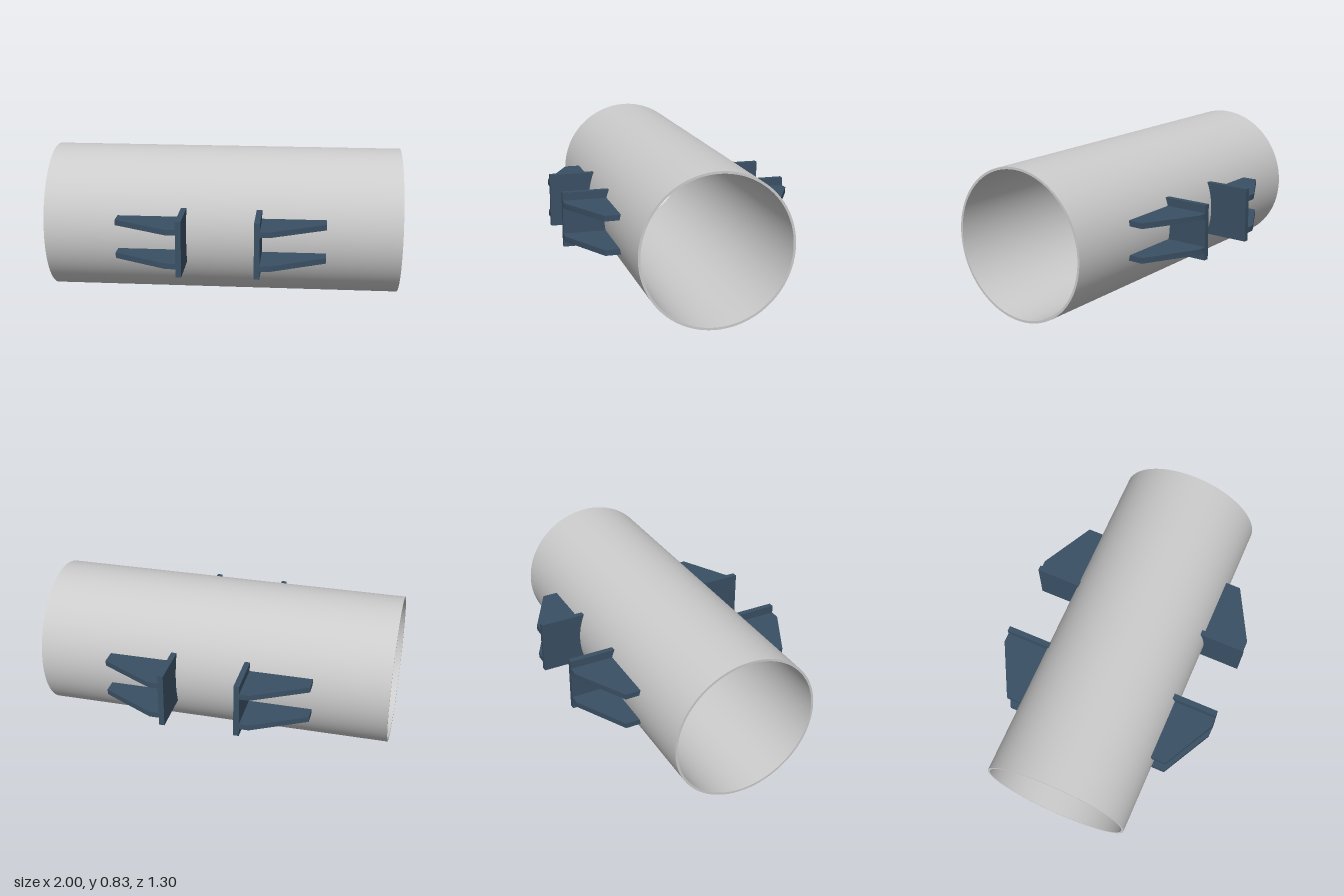
import * as THREE from 'three';
import { toCreasedNormals } from 'three/addons/utils/BufferGeometryUtils.js';

const R = 0.4175;         // pipe outer radius
const WALL = 0.013;       // pipe wall thickness
const REACH = 0.65;       // outer edge of the brackets, from the pipe axis
const T = 0.031;          // bracket plate thickness

const pipeMaterial = new THREE.MeshStandardMaterial({ color: 0xcccccc });
const steelMaterial = new THREE.MeshStandardMaterial({ color: 0x3a5064 });

function extrude(shape, depth, curveSegments = 12) {
  const g = new THREE.ExtrudeGeometry(shape, { depth, bevelEnabled: false, curveSegments });
  return toCreasedNormals(g.translate(0, 0, -depth / 2), 0.5);
}

function addMesh(parent, name, geometry, material, x = 0, y = 0) {
  const mesh = new THREE.Mesh(geometry, material);
  mesh.name = name;
  mesh.position.set(x, y, 0);
  parent.add(mesh);
}

// Hollow pipe lying along x
function pipeGeometry() {
  const ring = new THREE.Shape().absarc(0, 0, R, 0, Math.PI * 2, false);
  ring.holes.push(new THREE.Path().absarc(0, 0, R - WALL, 0, Math.PI * 2, true));
  return extrude(ring, 2, 96).rotateY(Math.PI / 2);
}

// Upright plate whose inner edge is cut to the pipe's curve
function plateGeometry() {
  const half = 0.156;
  const a = Math.asin(half / R);
  const shape = new THREE.Shape();
  shape.moveTo(REACH, -half);
  shape.lineTo(REACH, half);
  shape.lineTo(R * Math.cos(a), half);
  shape.absarc(0, 0, R, a, -a, true);
  return extrude(shape, T, 24).rotateY(-Math.PI / 2);
}

// Tapered horizontal rib; its inner edge ends inside the pipe wall
function gussetGeometry() {
  const inner = 0.402;
  const shape = new THREE.Shape([
    [0.225, inner], [0.58, inner], [0.58, 0.49], [0.28, REACH], [0.225, REACH],
  ].map(([x, z]) => new THREE.Vector2(x, -z)));
  return extrude(shape, T).rotateX(-Math.PI / 2);
}

export function createModel() {
  const model = new THREE.Group();
  model.name = 'pipeWithBrackets';
  const body = new THREE.Group();
  body.name = 'pipeAssembly';
  body.position.y = R;
  model.add(body);

  addMesh(body, 'pipe', pipeGeometry(), pipeMaterial);

  // Four brackets: half turns about each axis place the mirrored copies
  const plate = plateGeometry();
  const gusset = gussetGeometry();
  const places = [
    ['frontLeftBracket', 0, 0, 0],
    ['backLeftBracket', Math.PI, 0, 0],
    ['backRightBracket', 0, Math.PI, 0],
    ['frontRightBracket', 0, 0, Math.PI],
  ];
  for (const [name, rx, ry, rz] of places) {
    const bracket = new THREE.Group();
    bracket.name = name;
    bracket.rotation.set(rx, ry, rz);
    addMesh(bracket, 'plate', plate, steelMaterial, 0.195 + T / 2 );
    for (const side of [1, -1]) addMesh(bracket, 'gusset', gusset, steelMaterial, 0, side * 0.095);
    body.add(bracket);
  }
  return model;
}
